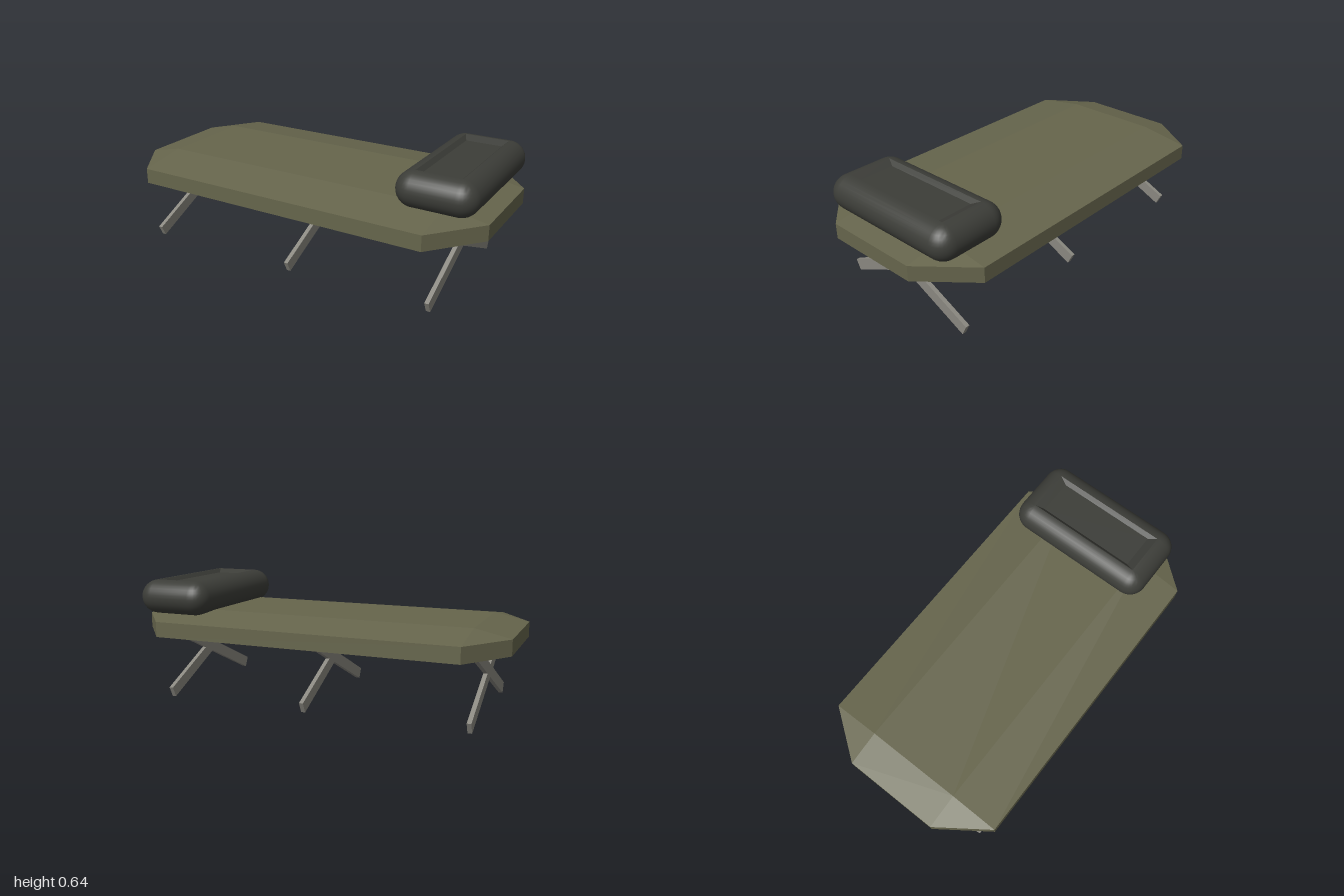
import * as THREE from 'three';
import { toCreasedNormals } from 'three/addons/utils/BufferGeometryUtils.js';

// Skins a stack of closed loops (bottom to top, running from +x towards +z) and caps both ends.
function loft(loops) {
  const pos = [];
  const tri = (a, b, c) => {
    if (new THREE.Triangle(a, b, c).getArea() < 1e-8) return;
    for (const p of [a, b, c]) pos.push(p.x, p.y, p.z);
  };
  const n = loops[0].length;
  for (let i = 0; i < loops.length - 1; i++) {
    for (let j = 0; j < n; j++) {
      const k = (j + 1) % n;
      tri(loops[i][j], loops[i + 1][j], loops[i][k]);
      tri(loops[i][k], loops[i + 1][j], loops[i + 1][k]);
    }
  }
  const first = loops[0], last = loops[loops.length - 1];
  for (let j = 1; j < n - 1; j++) {
    tri(first[0], first[j], first[j + 1]);
    tri(last[0], last[j + 1], last[j]);
  }
  const geo = new THREE.BufferGeometry();
  geo.setAttribute('position', new THREE.Float32BufferAttribute(pos, 3));
  return geo;
}

// Octagonal mattress outline; with inset, each cut corner shrinks to one inner corner.
function mattressLoop(y, inset) {
  const x0 = -0.82, x1 = 0.785, z = 0.255;
  const ex = inset ? x1 : 1, ew = inset ? x0 : -1, ez = inset ? z : 0.51;
  return [[ex, -z], [ex, z], [x1, ez], [x0, ez], [ew, z], [ew, -z], [x0, -ez], [x1, -ez]]
    .map(([px, pz]) => new THREE.Vector3(px, y, pz));
}

// Rectangle with round corners: half sizes of the core plus a radius.
function roundLoop(hx, hz, r, y, segments = 8) {
  const points = [];
  const corners = [[1, 1], [-1, 1], [-1, -1], [1, -1]];
  corners.forEach(([sx, sz], q) => {
    for (let i = 0; i <= segments; i++) {
      const a = (q + i / segments) * Math.PI / 2;
      points.push(new THREE.Vector3(sx * hx + r * Math.cos(a), y, sz * hz + r * Math.sin(a)));
    }
  });
  return points;
}

// Bolster with a full round edge and a shallow sunken panel above and below.
function pillowGeometry() {
  const hx = 0.115, hz = 0.315, r = 0.09, dip = 0.02, steps = 16;
  const loops = [roundLoop(hx - 0.02, hz - 0.045, 0, -r + dip)];
  for (let i = 0; i <= steps; i++) {
    const t = (i / steps - 0.5) * Math.PI;
    loops.push(roundLoop(hx, hz, r * Math.cos(t), r * Math.sin(t)));
  }
  loops.push(roundLoop(hx - 0.02, hz - 0.045, 0, r - dip));
  return toCreasedNormals(loft(loops), 0.4);
}

export function createModel() {
  const group = new THREE.Group();
  const olive = new THREE.MeshStandardMaterial({ color: 0x66654c });
  const dark = new THREE.MeshStandardMaterial({ color: 0x3c3d38 });
  const metal = new THREE.MeshStandardMaterial({ color: 0x8a8880 });

  // Mattress
  const mattress = new THREE.Mesh(toCreasedNormals(loft([
    mattressLoop(0.315, true), mattressLoop(0.355, false),
    mattressLoop(0.435, false), mattressLoop(0.475, true),
  ]), 0.05), olive);
  mattress.name = 'mattress';
  group.add(mattress);

  // Pillow
  const pillow = new THREE.Mesh(pillowGeometry(), dark);
  pillow.name = 'pillow';
  pillow.position.set(0.755, 0.546, -0.037);
  group.add(pillow);

  // Three crossed leg pairs
  const bar = new THREE.BoxGeometry(0.022, 0.06, 0.878);
  [-0.843, 0.01, 0.79].forEach((x, i) => {
    const legs = new THREE.Group();
    legs.name = 'crossedLegs' + (i + 1);
    legs.position.set(x, 0.214, 0.015);
    for (const side of [1, -1]) {
      const leg = new THREE.Mesh(bar, metal);
      leg.name = side > 0 ? 'frontLeg' : 'backLeg';
      leg.rotation.x = side * 0.44;
      legs.add(leg);
    }
    group.add(legs);
  });

  return group;
}
